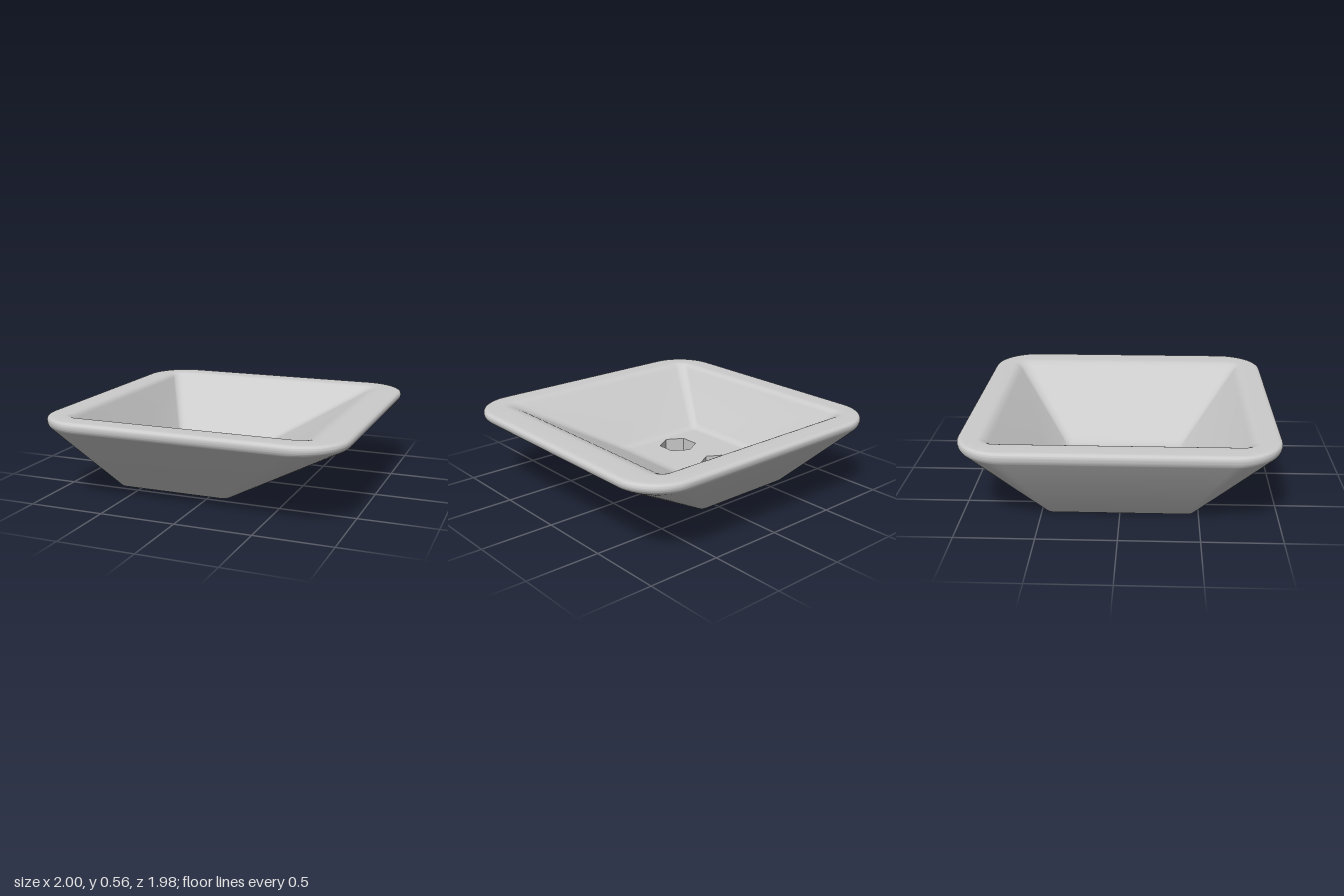
import * as THREE from 'three';
import { toCreasedNormals } from 'three/addons/utils/BufferGeometryUtils.js';

const FLOOR = 0.165, SEAT = 0.045, TOP = 0.555;   // heights of basin floor, nut seat, rim
const HEX_R = 0.133, BOLT_R = 0.073, BOLT_X = -0.265, BOLT_Z = 0.22;

const mix = (p, q, t) => p.map((v, i) => v + (q[i] - v) * t);

// Rounded rectangle [x0, x1, halfDepth, cornerRadius, y] as a closed ring of points
function ring([x0, x1, hz, r, y], steps = 14) {
  const centres = [[x1 - r, hz - r], [x0 + r, hz - r], [x0 + r, r - hz], [x1 - r, r - hz]];
  return centres.flatMap(([cx, cz], k) =>
    Array.from({ length: steps + 1 }, (_, i) => {
      const a = (k + i / steps) * Math.PI / 2;
      return new THREE.Vector3(cx + r * Math.cos(a), y, cz + r * Math.sin(a));
    }));
}

// Key sections; the two fractions say how far each fillet reaches to its neighbours
const keys = [
  [[-0.62, 0.10, 0.44, 0.02, 0]],
  [[-0.65, 0.125, 0.465, 0.04, 0], 0.9, 0.02],
  [[-1, 1, 0.992, 0.3, 0.5], 0.04, 0.45],
  [[-1, 1, 0.992, 0.3, TOP], 0.5, 0.2],
  [[-0.83, 0.79, 0.825, 0.07, TOP], 0.2, 0.08],
  [[-0.595, 0.1, 0.4, 0.05, FLOOR], 0.08, 0.9],
  [[-0.555, 0.04, 0.362, 0.03, FLOOR]],
];

// Fillet every inner key with a quadratic curve
function sections() {
  const out = [keys[0][0]];
  for (let k = 1; k < keys.length - 1; k++) {
    const [key, a, b] = keys[k];
    const start = mix(key, keys[k - 1][0], a), end = mix(key, keys[k + 1][0], b);
    for (let i = 0; i <= 8; i++) {
      const t = i / 8;
      out.push(mix(mix(start, key, t), mix(key, end, t), t));
    }
  }
  out.push(keys[keys.length - 1][0]);
  return out;
}

// Skin through the rings, outside wall first, over the rim, then down the inside
function loft(rows) {
  const rings = rows.map((s) => ring(s));
  const n = rings[0].length, index = [];
  for (let i = 0; i < rings.length - 1; i++) {
    for (let j = 0; j < n; j++) {
      const a = i * n + j, b = i * n + (j + 1) % n;
      index.push(a, a + n, b, b, a + n, b + n);
    }
  }
  const geo = new THREE.BufferGeometry().setFromPoints(rings.flat());
  geo.setIndex(index);
  return toCreasedNormals(geo, 0.5);
}

// Regular polygon outline used for holes and seats
function polygon(x, z, r, sides) {
  return Array.from({ length: sides }, (_, i) => {
    const a = i / sides * Math.PI * 2;
    return new THREE.Vector2(x + r * Math.sin(a), z + r * Math.cos(a));
  });
}

// Flat horizontal plate with holes
function plate(outline, holes, y, up) {
  const shape = new THREE.Shape(outline);
  shape.holes = holes.map((h) => new THREE.Path(h));
  return new THREE.ShapeGeometry(shape).rotateX(up ? -Math.PI / 2 : Math.PI / 2).translate(0, y, 0);
}

export function createModel() {
  const model = new THREE.Group();
  const grey = new THREE.MeshStandardMaterial({ color: 0xcccccc });
  const inner = new THREE.MeshStandardMaterial({ color: 0xcccccc, side: THREE.DoubleSide });
  const innerFlat = new THREE.MeshStandardMaterial({ color: 0xcccccc, side: THREE.DoubleSide, flatShading: true });
  const add = (name, geo, mat, parent = model) => {
    const mesh = new THREE.Mesh(geo, mat);
    mesh.name = name;
    parent.add(mesh);
    return mesh;
  };
  const flat = (section) => ring(section).map((p) => new THREE.Vector2(p.x, p.z));
  const holes = (r, sides) => [-1, 1].map((s) => polygon(BOLT_X, s * BOLT_Z, r, sides));

  // Basin walls and rim
  add('basinWalls', loft(sections()), grey);

  // Underside and basin floor
  add('underside', plate(flat(keys[0][0]), holes(BOLT_R, 40), 0, false), grey);
  add('basinFloor', plate(flat(keys[keys.length - 1][0]), holes(HEX_R, 6), FLOOR, true), grey);

  // Hexagonal nut recesses with bolt holes
  for (const s of [-1, 1]) {
    const recess = new THREE.Group();
    recess.name = s > 0 ? 'frontBoltRecess' : 'backBoltRecess';
    recess.position.set(BOLT_X, 0, s * BOLT_Z);
    const depth = FLOOR - SEAT;
    add('hexWall', new THREE.CylinderGeometry(HEX_R, HEX_R, depth, 6, 1, true)
      .translate(0, SEAT + depth / 2, 0), innerFlat, recess);
    add('nutSeat', plate(polygon(0, 0, HEX_R, 6), [polygon(0, 0, BOLT_R, 40)], SEAT, true), grey, recess);
    add('boltHole', new THREE.CylinderGeometry(BOLT_R, BOLT_R, SEAT, 40, 1, true)
      .translate(0, SEAT / 2, 0), inner, recess);
    model.add(recess);
  }
  return model;
}
